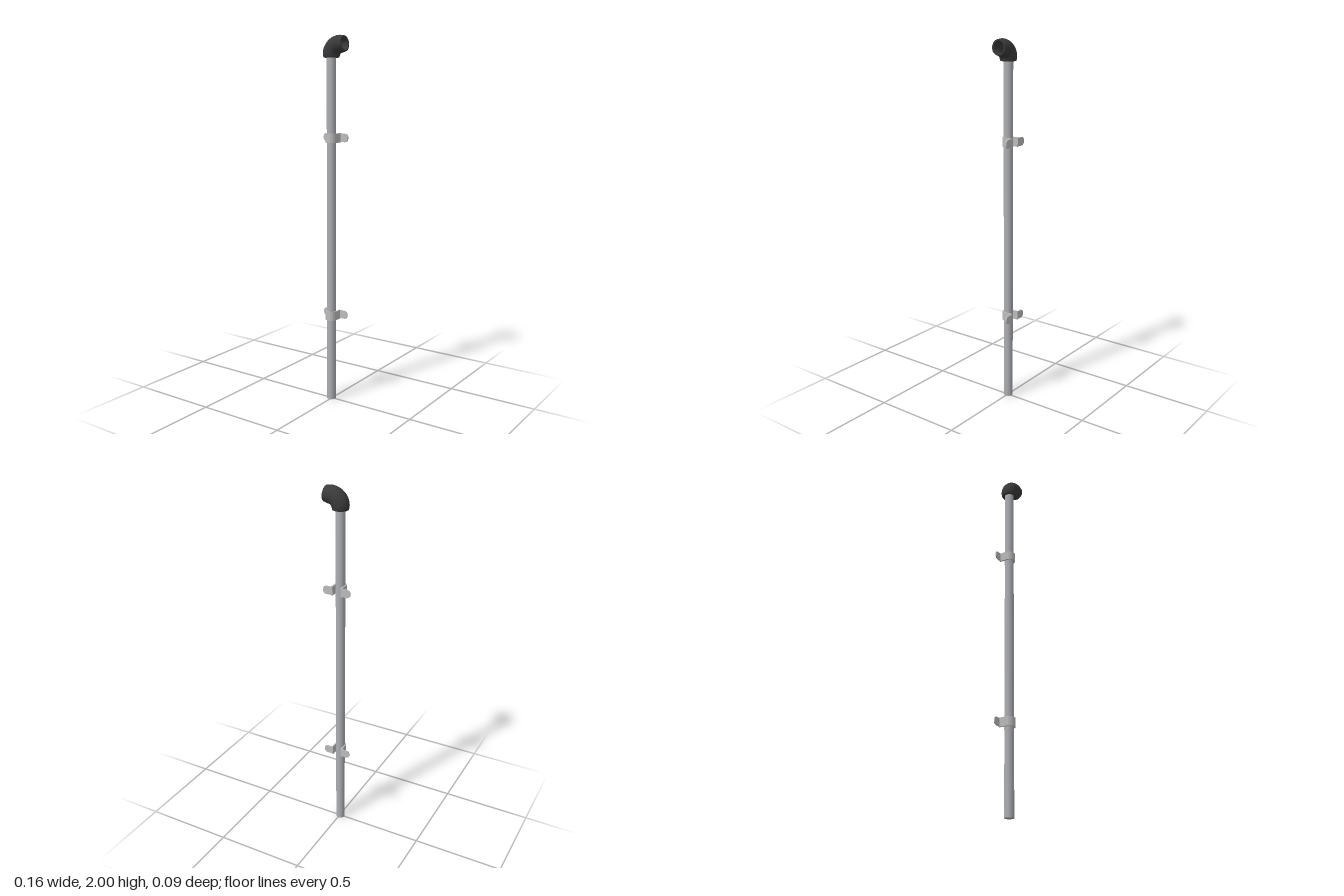
import * as THREE from 'three';
import { toCreasedNormals } from 'three/addons/utils/BufferGeometryUtils.js';

const PIPE_X = -0.004;

// Hollow elbow: circular sections swept up, round the bend and out, then back along the bore.
function elbowGeometry() {
  const R = 0.0548, bend = THREE.MathUtils.degToRad(85), y0 = 1.8985, steps = 14, sides = 40;
  const low = 0.0135, out = 0.033;
  // Axis position and direction at a distance before, within or after the bend
  const section = (a, extra, r) => ({
    x: PIPE_X + R - R * Math.cos(a) + extra * Math.sin(a),
    y: y0 + R * Math.sin(a) + extra * Math.cos(a), a, r,
  });
  const rings = [section(0, -low, 0.041), section(0, -0.002, 0.0445)];
  for (let i = 1; i <= steps; i++) {
    const t = i / steps;
    rings.push(section(bend * t, 0, 0.0445 + 0.002 * Math.sin(Math.min(1, t * 3) * Math.PI / 2)));
  }
  rings.push(section(bend, 0.008, 0.046), section(bend, out, 0.041), section(bend, out, 0.033));
  for (let i = steps; i >= 0; i--) rings.push(section(bend * i / steps, 0, 0.031));
  rings.push(section(0, -low, 0.031), rings[0]);

  const pos = [], index = [];
  for (const { x, y, a, r } of rings) {
    for (let j = 0; j < sides; j++) {
      const t = j / sides * Math.PI * 2, n = r * Math.cos(t);
      pos.push(x - n * Math.cos(a), y + n * Math.sin(a), r * Math.sin(t));
    }
  }
  for (let i = 0; i < rings.length - 1; i++) {
    for (let j = 0; j < sides; j++) {
      const k = (j + 1) % sides, a = i * sides, b = a + sides;
      index.push(a + j, a + k, b + k, a + j, b + k, b + j);
    }
  }
  const g = new THREE.BufferGeometry();
  g.setAttribute('position', new THREE.Float32BufferAttribute(pos, 3));
  g.setIndex(index);
  return toCreasedNormals(g, 0.6);
}

// U-shaped strap round the front of the pipe
function strapGeometry(height) {
  const outer = 0.032, inner = 0.0235, back = 0.044;
  const s = new THREE.Shape();
  s.moveTo(outer, back);
  s.lineTo(outer, 0);
  s.absarc(0, 0, outer, 0, -Math.PI, true);
  s.lineTo(-outer, back);
  s.lineTo(-inner, back);
  s.lineTo(-inner, 0);
  s.absarc(0, 0, inner, -Math.PI, 0, false);
  s.lineTo(inner, back);
  s.closePath();
  const g = new THREE.ExtrudeGeometry(s, { depth: height, bevelEnabled: false, curveSegments: 20 });
  g.translate(0, 0, -height / 2);
  g.rotateX(-Math.PI / 2); // profile y becomes -z
  return toCreasedNormals(g, 0.6);
}

// Flat fixing ear with a rounded outer end
function earGeometry(height) {
  const h = height / 2, r = 0.019, x0 = 0.024, x1 = 0.078;
  const s = new THREE.Shape();
  s.moveTo(x0, -h);
  s.lineTo(x1 - r, -h);
  s.absarc(x1 - r, -h + r, r, -Math.PI / 2, 0, false);
  s.absarc(x1 - r, h - r, r, 0, Math.PI / 2, false);
  s.lineTo(x0, h);
  s.closePath();
  const g = new THREE.ExtrudeGeometry(s, { depth: 0.006, bevelEnabled: false, curveSegments: 8 });
  g.translate(0, 0, -0.045);
  return toCreasedNormals(g, 0.6);
}

export function createModel() {
  const pipeGrey = new THREE.MeshStandardMaterial({ color: 0xacaeb2 });
  pipeGrey.name = 'pipeGrey';
  const clampGrey = new THREE.MeshStandardMaterial({ color: 0xbcbcbc });
  clampGrey.name = 'clampGrey';
  const elbowBlack = new THREE.MeshStandardMaterial({ color: 0x3a3a3a });
  elbowBlack.name = 'elbowBlack';

  const model = new THREE.Group();
  model.name = 'ventPipe';
  const add = (parent, name, geometry, material) => {
    const mesh = new THREE.Mesh(geometry, material);
    mesh.name = name;
    parent.add(mesh);
    return mesh;
  };

  // Upright pipe
  const length = 1.9;
  const pipe = add(model, 'pipe', new THREE.CylinderGeometry(0.025, 0.025, length, 32), pipeGrey);
  pipe.position.set(PIPE_X, length / 2, 0);

  // Elbow on top, with a collar closing its lower end round the pipe
  add(model, 'elbow', elbowGeometry(), elbowBlack);
  const collar = add(model, 'elbowCollar', new THREE.CylinderGeometry(0.033, 0.033, 0.017, 32), elbowBlack);
  collar.position.set(PIPE_X, 1.8955, 0);

  // Two wall clamps
  const strap = strapGeometry(0.05), ear = earGeometry(0.045);
  for (const [name, y] of [['lowerClamp', 0.488], ['upperClamp', 1.467]]) {
    const clamp = new THREE.Group();
    clamp.name = name;
    clamp.position.set(PIPE_X, y, 0);
    add(clamp, 'strap', strap, clampGrey);
    add(clamp, 'leftEar', ear, clampGrey);
    // Symmetric in y, so a half turn about z mirrors the ear
    add(clamp, 'rightEar', ear, clampGrey).rotation.z = Math.PI;
    model.add(clamp);
  }
  return model;
}
